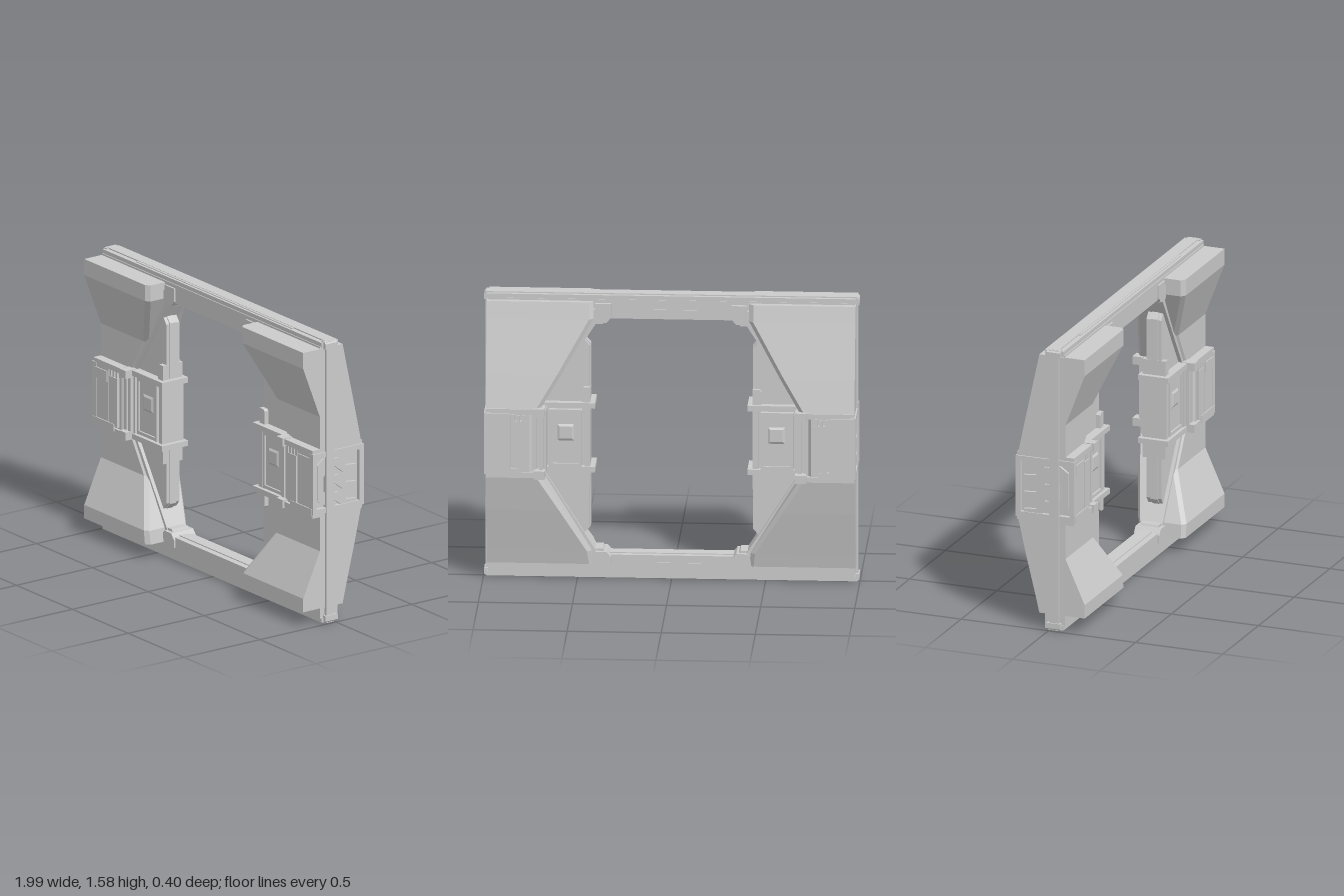
import * as THREE from 'three';

const MID = 0.79; // height of the horizontal mirror plane
const material = new THREE.MeshStandardMaterial({ color: 0xcccccc, flatShading: true });

// Box from its limits; y is measured from the mid height
function block(x0, x1, y0, y1, z0, z1) {
  return new THREE.BoxGeometry(x1 - x0, y1 - y0, z1 - z0)
    .translate((x0 + x1) / 2, (y0 + y1) / 2, (z0 + z1) / 2);
}

// Outline in x,y extruded from z0 to z1
function plate(points, z0, z1) {
  const shape = new THREE.Shape(points.map(([x, y]) => new THREE.Vector2(x, y)));
  return new THREE.ExtrudeGeometry(shape, { depth: z1 - z0, bevelEnabled: false }).translate(0, 0, z0);
}

// Outline in x,z extruded upwards from y0 to y1
function column(points, y0, y1) {
  return plate(points.map(([x, z]) => [x, -z]), y0, y1).rotateX(-Math.PI / 2);
}

// Outline in z,y extruded sideways from x0 to x1
function sidePlate(points, x0, x1) {
  return plate(points.map(([z, y]) => [-z, y]), x0, x1).rotateY(Math.PI / 2);
}

// Skin over equal-length rings of [x, y, z], with end caps; rings turn anticlockwise seen from the last one
function loft(rings) {
  const n = rings[0].length, index = [];
  for (let r = 0; r < rings.length - 1; r++) {
    for (let i = 0; i < n; i++) {
      const a = r * n + i, b = r * n + (i + 1) % n;
      index.push(a, b, b + n, a, b + n, a + n);
    }
  }
  const top = (rings.length - 1) * n;
  for (let i = 1; i < n - 1; i++) index.push(0, i + 1, i, top, top + i, top + i + 1);
  const geo = new THREE.BufferGeometry();
  geo.setAttribute('position', new THREE.Float32BufferAttribute(rings.flat(2), 3));
  geo.setIndex(index);
  return geo;
}

// Armour wedge with chamfered inner edge; each row is [y, inner x, front z, back z]
function armour(rows) {
  return loft(rows.map(([y, x, f, b]) => [
    [x + 0.012, y, b], [x - 0.012, y, b + 0.02], [x - 0.012, y, f - 0.02],
    [x + 0.012, y, f], [0.98, y, f], [0.98, y, b],
  ]));
}

// Mirrored copy with its winding kept outward
function mirrored(geo, sx, sy) {
  const g = geo.index ? geo.toNonIndexed() : geo.clone();
  g.scale(sx, sy, 1);
  if (sx * sy < 0) {
    const p = g.attributes.position, a = new THREE.Vector3(), b = new THREE.Vector3();
    for (let i = 0; i < p.count; i += 3) {
      a.fromBufferAttribute(p, i + 1);
      b.fromBufferAttribute(p, i + 2);
      p.setXYZ(i + 1, b.x, b.y, b.z);
      p.setXYZ(i + 2, a.x, a.y, a.z);
    }
  }
  g.computeVertexNormals();
  return g;
}

export function createModel() {
  const model = new THREE.Group();
  model.name = 'gateFrame';
  const add = (name, geo, xs, ys) => {
    for (const sx of xs) for (const sy of ys) {
      const mesh = new THREE.Mesh(mirrored(geo, sx, sy), material);
      mesh.name = name;
      mesh.position.y = MID;
      model.add(mesh);
    }
  };
  const both = [1, -1], one = [1];
  const quarter = (name, geo) => add(name, geo, both, both);
  const sides = (name, geo) => add(name, geo, both, one);
  const ends = (name, geo) => add(name, geo, one, both);

  // Top and bottom beams with stepped lip, long ridge and slots
  ends('beam', block(-0.975, 0.975, 0.655, 0.76, -0.03, 0.085));
  ends('beamLip', block(-0.98, 0.98, 0.755, 0.782, -0.028, 0.08));
  ends('beamRidge', block(-0.985, 0.985, 0.78, 0.788, -0.008, 0.052));
  ends('beamRidgeBar', block(-0.7, 0.7, 0.78, 0.786, 0.05, 0.066));
  ends('beamSlot', block(-0.16, 0.16, 0.695, 0.708, -0.034, -0.02));
  ends('innerBeamStrip', block(-0.33, 0.33, 0.65, 0.66, 0.0, 0.05));

  // Outer side strip and its corner cap
  sides('sideStrip', block(0.97, 0.99, -0.785, 0.785, 0, 0.055));
  quarter('cornerCap', plate([[0.96, 0.745], [0.997, 0.745], [0.997, 0.775], [0.985, 0.787], [0.96, 0.787]], -0.012, 0.066));

  // Side wall that fills the space behind the armour
  quarter('sideWall', plate([[0.435, 0], [0.97, 0], [0.97, 0.7], [0.4, 0.7], [0.4, 0.635], [0.465, 0.54], [0.435, 0.5]], -0.025, 0.06));
  quarter('sideWallRim', plate([[0.43, 0.2], [0.455, 0.2], [0.455, 0.49], [0.48, 0.53], [0.465, 0.545], [0.43, 0.505]], 0.0, 0.04));

  // Armour wedges; the lower pair stops a little short of the beam's foot
  const upper = [[0.18, 0.705, 0.09, -0.182], [0.37, 0.59, 0.09, -0.142], [0.66, 0.425, 0.2, -0.079], [0.75, 0.425, 0.2, -0.06]];
  const lower = [[0.18, 0.705, 0.09, -0.182], [0.38, 0.582, 0.09, -0.137], [0.625, 0.435, 0.2, -0.077], [0.7, 0.425, 0.2, -0.06]];
  add('upperArmour', armour(upper), both, [1]);
  add('lowerArmour', armour(lower), both, [-1]);

  // Raised trim that follows the diagonal edge
  quarter('diagonalTrim', plate([[0.4, 0.655], [0.4, 0.63], [0.69, 0.17], [0.71, 0.17], [0.425, 0.655]], -0.045, 0.08));

  // Chamfered brackets at the opening's corners
  quarter('cornerBracket', plate([[0.32, 0.71], [0.32, 0.665], [0.345, 0.635], [0.405, 0.635], [0.43, 0.66], [0.43, 0.71]], -0.05, 0.095));
  sides('upperBracketHead', block(0.32, 0.405, 0.7, 0.74, -0.05, 0.095));
  quarter('cornerBracketFoot', plate([[0.395, 0.66], [0.345, 0.66], [0.365, 0.622], [0.405, 0.622]], -0.03, 0.075));

  // Outer housing of the middle module
  const housing = [[0.7, 0.09], [0.75, 0.125], [0.965, 0.125], [0.965, -0.18], [0.75, -0.18], [0.7, -0.12]];
  sides('housing', column(housing, -0.185, 0.185));
  for (const [z0, z1] of [[0.12, 0.146], [-0.197, -0.175]]) {
    sides('housingPlate', block(0.845, 0.98, -0.135, 0.165, z0, z1 - 0.006));
    sides('housingInnerPlate', block(0.765, 0.835, -0.15, 0.125, z0 + 0.004, z1 - 0.004));
    sides('housingLug', block(0.855, 0.965, 0.085, 0.145, z0, z1));
    sides('housingSill', block(0.79, 0.98, -0.175, -0.135, z0, z1));
    for (const x of [0.77, 0.797, 0.824]) sides('housingTooth', block(x, x + 0.016, 0.125, 0.16, z0, z1 - 0.008));
  }
  quarter('housingBar', block(0.7, 0.98, 0.16, 0.19, -0.188, 0.14));
  quarter('housingSideRail', block(0.95, 0.988, 0.142, 0.17, -0.193, 0.143));
  for (const [z0, z1] of [[0.115, 0.143], [-0.193, -0.165]]) {
    sides('housingSidePost', block(0.95, 0.988, -0.165, 0.165, z0, z1));
  }

  // Bent louvres and notched plate in the side windows
  for (const y of [-0.115, -0.02, 0.075]) {
    sides('louvre', sidePlate([[0, y + 0.045], [0, y + 0.008], [-0.06, y - 0.04], [-0.15, y - 0.04],
      [-0.15, y - 0.012], [-0.08, y - 0.005], [-0.03, y + 0.045]], 0.955, 0.982));
  }
  sides('notchedPlate', sidePlate([[0.105, 0.1], [0.055, 0.135], [0.055, 0.04], [0.08, 0.02], [0.08, -0.04], [0.055, -0.06], [0.055, -0.13], [0.105, -0.1]], 0.955, 0.98));

  // Twin posts with clamps between housing and inner panel
  for (const [z0, z1] of [[0.06, 0.12], [-0.165, -0.03]]) {
    for (const x of [0.675, 0.712]) sides('post', block(x, x + 0.022, -0.17, 0.17, z0, z1));
  }
  sides('postCore', block(0.66, 0.74, -0.17, 0.17, -0.145, 0.1));
  quarter('postClampFront', block(0.675, 0.73, 0.15, 0.195, 0.08, 0.152));
  quarter('postClampBack', block(0.665, 0.725, 0.15, 0.195, -0.2, -0.12));

  // Inner panel with a framed face and a small boss, on front and back
  for (const [z0, z1, out] of [[0.055, 0.085, 1], [-0.065, -0.02, -1]]) {
    sides('innerPanel', block(0.475, 0.65, -0.16, 0.15, z0, z1));
    const face = out > 0 ? z1 : z0;
    const near = Math.min(face, face + out * 0.01), far = Math.max(face, face + out * 0.01);
    for (const x of [0.475, 0.635]) sides('innerPanelEdge', block(x, x + 0.014, -0.16, 0.15, near, far));
    quarter('innerPanelRail', block(0.475, 0.65, 0.14, 0.158, near, far));
    sides('innerPanelBoss', loft([0, 1].map((t) => {
      const s = 0.045 - t * 0.012, z = face + out * t * 0.007;
      const ring = [[-s, -s], [s, -s], [s, s], [-s, s]].map(([x, y]) => [0.56 + x, y + 0.03, z]);
      return out > 0 ? ring : ring.reverse();
    })));
  }

  // Crossbars that tie the inner panel to the posts
  quarter('crossbar', block(0.405, 0.74, 0.162, 0.192, -0.062, 0.11));

  // Uprights along the opening
  sides('upright', block(0.432, 0.462, -0.17, 0.17, -0.05, 0.09));
  quarter('uprightEnd', plate([[0.432, 0.18], [0.478, 0.18], [0.478, 0.265], [0.467, 0.275], [0.432, 0.275]], -0.045, 0.085));

  return model;
}
